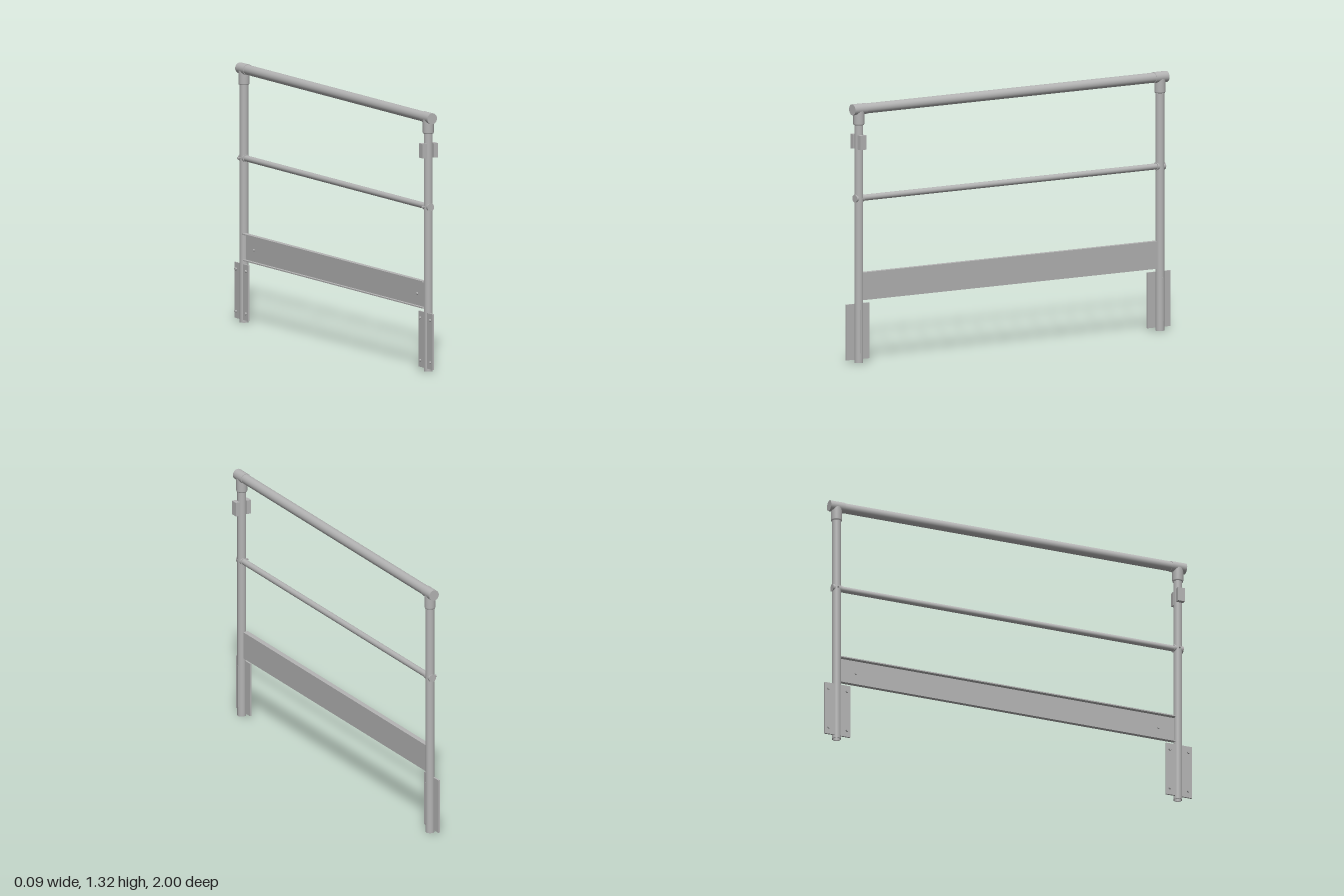
import * as THREE from 'three';

export function createModel() {
  const model = new THREE.Group();
  model.name = 'guardrail';
  const steel = new THREE.MeshStandardMaterial({ color: 0xb4b4b4 });
  steel.name = 'galvanised steel';

  function add(parent, name, geometry, x, y, z) {
    const mesh = new THREE.Mesh(geometry, steel);
    mesh.name = name;
    mesh.position.set(x, y, z);
    parent.add(mesh);
    return mesh;
  }
  const box = (parent, name, w, h, d, x, y, z) =>
    add(parent, name, new THREE.BoxGeometry(w, h, d), x, y, z);
  const rod = (r, length, axis, sides = 32) => {
    const g = new THREE.CylinderGeometry(r, r, length, sides);
    if (axis === 'z') g.rotateX(Math.PI / 2);
    if (axis === 'x') g.rotateZ(Math.PI / 2);
    return g;
  };

  // Hollow upright, each wall turned separately to keep its rims sharp
  function tube(parent, name, outer, inner, y0, y1, z) {
    const corners = [[inner, y0], [outer, y0], [outer, y1], [inner, y1], [inner, y0]];
    const group = new THREE.Group();
    group.name = name;
    for (let i = 0; i < 4; i++) {
      const points = [corners[i], corners[i + 1]].map(p => new THREE.Vector2(...p));
      add(group, name + 'Wall', new THREE.LatheGeometry(points, 32), 0, 0, z);
    }
    parent.add(group);
  }

  const railY = 1.287, midY = 0.835, postZ = 0.93;

  // Long horizontal rails
  add(model, 'topRail', rod(0.0255, 1.9, 'z'), 0, railY, 0);
  add(model, 'middleRail', rod(0.0155, 1.9, 'z'), 0, midY, 0);

  // Toe board: a shallow channel opening to the right
  const board = new THREE.Group();
  board.name = 'toeBoard';
  model.add(board);
  box(board, 'toeBoardWeb', 0.006, 0.14, 1.82, 0.001, 0.385, 0);
  box(board, 'toeBoardTopLip', 0.028, 0.006, 1.82, -0.01, 0.452, 0);
  box(board, 'toeBoardBottomLip', 0.022, 0.006, 1.82, -0.007, 0.318, 0);

  for (const side of [1, -1]) {
    const end = new THREE.Group();
    end.name = side > 0 ? 'frontPost' : 'backPost';
    model.add(end);
    const z = side * postZ;

    tube(end, 'postTube', 0.0225, 0.018, 0, 1.27, z);

    // Tee fitting joining post and top rail
    add(end, 'teeBody', rod(0.028, 0.08, 'z'), 0, railY, side * 0.93);
    const sleeve = [[0.0225, 1.208], [0.026, 1.208], [0.028, 1.214], [0.028, 1.28]];
    add(end, 'teeSleeve', new THREE.LatheGeometry(
      sleeve.map(p => new THREE.Vector2(...p)), 32), 0, 0, z);

    // Crossing fitting for the middle rail, with its set screw
    add(end, 'middleFitting', rod(0.02, 0.05, 'z'), 0, midY, z);
    add(end, 'setScrew', rod(0.004, 0.02, 'x', 12), -0.026, midY, z);
    add(end, 'setScrewHead', rod(0.006, 0.004, 'x', 12), -0.034, midY, z);

    // Mounting plate and its four bolts
    box(end, 'mountingPlate', 0.009, 0.283, 0.14, -0.0115, 0.157, z);
    for (const y of [0.05, 0.265])
      for (const dz of [-0.05, 0.05])
        add(end, 'plateBolt', rod(0.007, 0.009, 'x', 12), -0.02, y, z + dz);
    box(end, 'postSeam', 0.004, 0.22, 0.008, 0.0215, 0.16, z);

    // Toe board bolt
    add(end, 'boardBolt', rod(0.007, 0.008, 'x', 12), -0.005, 0.38, side * 0.825);
  }

  // Pair of catch blocks near the top of the front post
  for (const s of [1, -1])
    box(model, 'catchBlock', 0.024, 0.073, 0.038, s * 0.032, 1.122, 0.932);

  return model;
}
